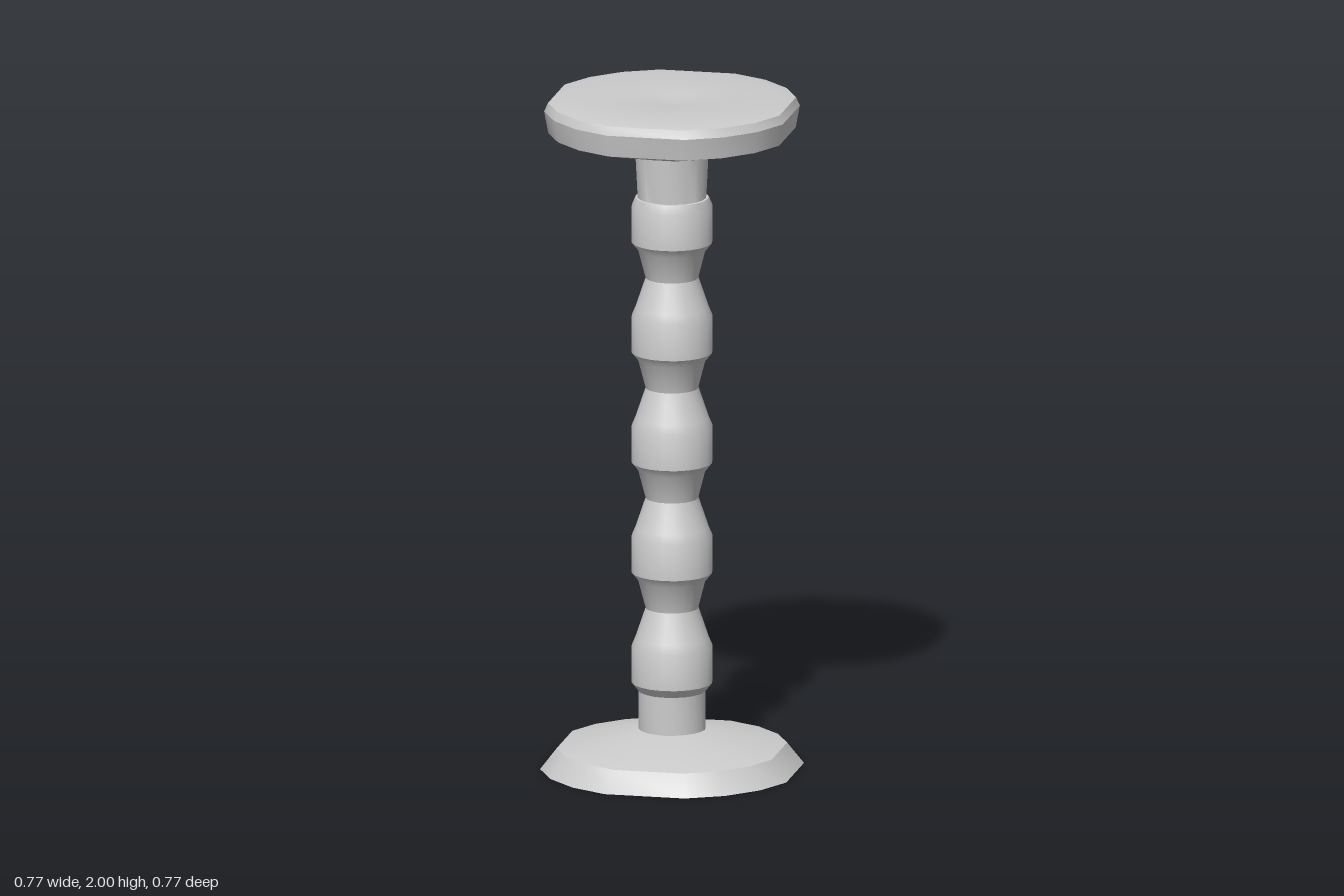
import * as THREE from 'three';
import { toCreasedNormals } from 'three/addons/utils/BufferGeometryUtils.js';

const material = new THREE.MeshStandardMaterial({ color: 0xcccccc });

// Corner steps of 18 degrees; the plates skip every fifth one for a chipped outline
const allSteps = Array.from({ length: 21 }, (_, k) => k);
const chippedSteps = allSteps.filter((k) => k % 5 !== 2);

// Turn a profile of [radius, height] pairs around y, with corners at the given steps
function turned(name, profile, steps) {
  const points = profile.map(([r, y]) => new THREE.Vector2(r, y));
  const geometry = new THREE.LatheGeometry(points, steps.length - 1);
  const position = geometry.attributes.position;
  steps.forEach((step, i) => {
    const angle = -(step % 20) * Math.PI / 10;
    points.forEach((p, j) => {
      position.setXYZ(i * points.length + j, p.x * Math.cos(angle), p.y, p.x * Math.sin(angle));
    });
  });
  geometry.deleteAttribute('uv');
  geometry.deleteAttribute('normal');
  const mesh = new THREE.Mesh(toCreasedNormals(geometry, Math.PI / 6), material);
  mesh.name = name;
  return mesh;
}

export function createModel() {
  const group = new THREE.Group();
  group.name = 'turnedStand';

  // Flared foot with a flat underside
  group.add(turned('base', [[0, 0], [0.384, 0], [0.335, 0.062], [0.098, 0.115], [0, 0.115]], chippedSteps));

  // Column with five beads separated by narrow waists
  const column = [[0.098, 0.11]];
  const beads = 5;
  const pitch = 0.3287;
  for (let i = 0; i < beads; i++) {
    const y = 0.228 + i * pitch;
    column.push([0.098, y], [0.118, y + 0.025], [0.118, y + 0.132], [0.107, y + 0.158]);
    if (i < beads - 1) column.push([0.077, y + 0.247]);
  }
  column.push([0.1, 1.702], [0.107, 1.84]);
  group.add(turned('column', column, allSteps));

  // Top plate with a conical underside, bevelled rim and a small central dimple
  group.add(turned('topPlate', [
    [0, 1.833], [0.105, 1.833], [0.36, 1.9], [0.372, 1.965], [0.361, 1.99],
    [0.31, 2], [0.067, 1.992], [0, 1.98],
  ], chippedSteps));

  return group;
}
